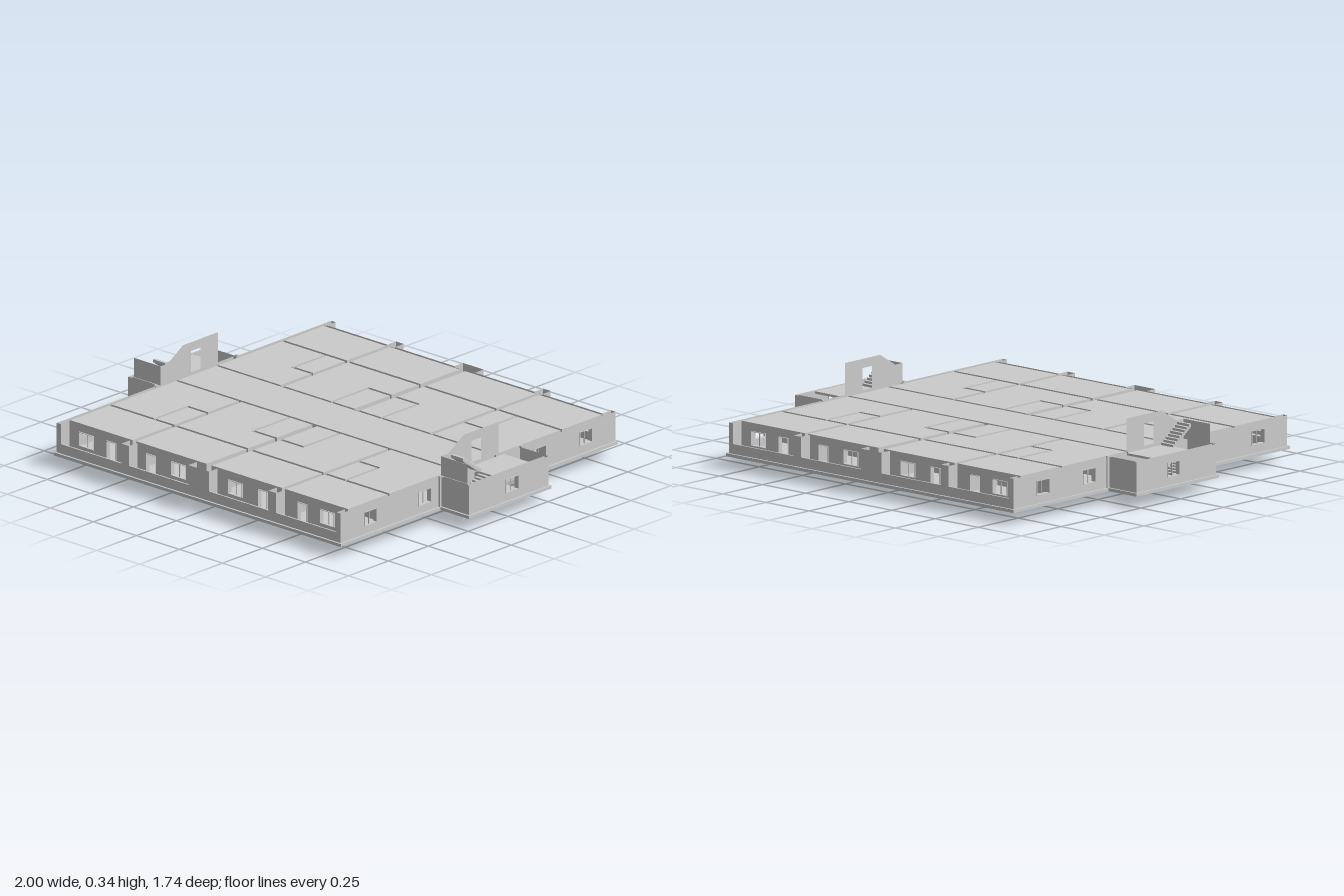
import * as THREE from 'three';

const grey = new THREE.MeshStandardMaterial({ color: 0xcccccc, side: THREE.DoubleSide });
const FLOOR = 0.065, TOP = 0.2, HEAD = 0.165, SILL = 0.105, PARAPET = 0.11;
const SIGNS = [1, -1];

const toShape = (pts) => new THREE.Shape(pts.map(([a, b]) => new THREE.Vector2(a, b)));
const rectPts = (a0, b0, a1, b1) => [[a0, b0], [a1, b0], [a1, b1], [a0, b1]];

function add(parent, geometry, name) {
  const mesh = new THREE.Mesh(geometry, grey);
  mesh.name = name;
  parent.add(mesh);
  return mesh;
}

function box(parent, name, x0, y0, z0, x1, y1, z1) {
  const g = new THREE.BoxGeometry(Math.abs(x1 - x0), Math.abs(y1 - y0), Math.abs(z1 - z0));
  return add(parent, g.translate((x0 + x1) / 2, (y0 + y1) / 2, (z0 + z1) / 2), name);
}

// Horizontal sheet from [x, z] points
function slab(parent, name, pts, y) {
  return add(parent, new THREE.ShapeGeometry(toShape(pts)).rotateX(Math.PI / 2).translate(0, y, 0), name);
}

// Doors and windows: centre, direction of the wall, width and height range
const openings = [];
function opening(x, z, along, w, y0, y1, kind) {
  openings.push({ x, z, along, w, y0, y1, kind });
}
const door = (x, z, along, w = 0.055) => opening(x, z, along, w, FLOOR + 0.002, HEAD, 'door');
const win = (x, z, along, w = 0.075) => opening(x, z, along, w, SILL, HEAD, 'window');

function listOpenings() {
  openings.length = 0;
  for (const sx of SIGNS) {
    for (const sz of SIGNS) {
      for (const x of [0.26, 0.64]) {
        door(sx * x, sz * 0.126, 'x');
        door(sx * x, sz * 0.54, 'x');
      }
      door(sx * 0.555, sz * 0.43, 'z');
      door(sx * 0.075, sz * 0.36, 'x', 0.05);
      win(sx * 0.7, sz * 0.801, 'x', 0.08);
      door(sx * 0.555, sz * 0.801, 'x', 0.05);
      door(sx * 0.325, sz * 0.801, 'x', 0.05);
      win(sx * 0.165, sz * 0.801, 'x', 0.08);
      win(sx * 0.817, sz * 0.675, 'z');
    }
    win(sx * 0.817, 0.335, 'z');
    win(sx * 0.817, -0.385, 'z');
    door(sx * 0.82, 0, 'z', 0.06);
    win(sx * 0.982, -0.035, 'z');
  }
}

// Upright sheet between two [x, z] points, cut by every opening that lies in it
function wall(parent, name, [xa, za], [xb, zb], outline) {
  const len = Math.hypot(xb - xa, zb - za);
  const dx = (xb - xa) / len, dz = (zb - za) / len;
  const shape = toShape(outline || rectPts(0, FLOOR, len, TOP));
  for (const o of openings) {
    const u = (o.x - xa) * dx + (o.z - za) * dz;
    const off = Math.abs((o.x - xa) * dz - (o.z - za) * dx);
    const parallel = Math.abs(o.along === 'x' ? dx : dz) > 0.9;
    if (parallel && off < 0.015 && u - o.w / 2 > 0 && u + o.w / 2 < len) {
      shape.holes.push(toShape(rectPts(u - o.w / 2, o.y0, u + o.w / 2, o.y1)));
    }
  }
  const m = new THREE.Matrix4().makeBasis(
    new THREE.Vector3(dx, 0, dz), new THREE.Vector3(0, 1, 0), new THREE.Vector3(-dz, 0, dx));
  m.setPosition(xa, 0, za);
  add(parent, new THREE.ShapeGeometry(shape).applyMatrix4(m), name);
}

// Hollow room: walls with floor and ceiling
function room(parent, name, pts, closed = true) {
  const g = new THREE.Group();
  g.name = name;
  parent.add(g);
  pts.forEach((p, i) => wall(g, 'roomWall', p, pts[(i + 1) % pts.length]));
  if (closed) {
    slab(g, 'roomFloor', pts, FLOOR);
    slab(g, 'ceiling', pts, TOP - 0.002);
  }
}

// Lining around each opening, with a middle bar in the windows
function lining(parent, o) {
  const g = new THREE.Group();
  g.name = o.kind + 'Frame';
  const w = o.w / 2, t = 0.002, d = 0.022;
  const shape = toShape(rectPts(-w - t, o.y0 - t, w + t, o.y1 + t));
  shape.holes.push(toShape(rectPts(-w, o.y0, w, o.y1)));
  add(g, new THREE.ExtrudeGeometry(shape, { depth: d, bevelEnabled: false }).translate(0, 0, -d / 2), 'lining');
  if (o.kind === 'window') box(g, 'middleBar', -t, o.y0, -t, t, o.y1, t);
  g.position.set(o.x, 0, o.z);
  if (o.along === 'z') g.rotation.y = Math.PI / 2;
  parent.add(g);
}

// Building outline, grown by e
const outlineAt = (e) => {
  const a = 0.825 + e, b = 0.86 + e, c = 0.99 + e, f = 0.235 + e, k = -0.265 - e;
  const right = [[a, b], [a, f], [c, f], [c, k], [a, k], [a, -b]];
  return [...right, ...right.map(([x, z]) => [-x, z]).reverse()];
};

// Flight of steps along z, from (z0, y0) to (z1, y1)
function flight(parent, xa, xb, z0, y0, z1, y1, n = 8) {
  const dz = (z1 - z0) / n, dy = (y1 - y0) / n;
  const pts = [[z0, y0]];
  for (let i = 0; i < n; i++) pts.push([z0 + i * dz, y0 + (i + 1) * dy], [z0 + (i + 1) * dz, y0 + (i + 1) * dy]);
  pts.push([z1, y1 - 0.012], [z0 + dz, y0]);
  const g = new THREE.ExtrudeGeometry(toShape(pts), { depth: Math.abs(xb - xa), bevelEnabled: false });
  add(parent, g.rotateY(-Math.PI / 2).translate(Math.max(xa, xb), 0, 0), 'flight');
}

// Sheet standing in the z-y plane
function sideSheet(parent, name, x, pts, hole) {
  const s = toShape(pts);
  if (hole) s.holes.push(toShape(hole));
  add(parent, new THREE.ShapeGeometry(s).rotateY(-Math.PI / 2).translate(x, 0, 0), name);
}

function stairwell(parent, s) {
  const g = new THREE.Group();
  g.name = s > 0 ? 'leftStairwell' : 'rightStairwell';
  parent.add(g);
  const xi = 0.832 * s, xm = 0.9 * s, xo = 0.975 * s;
  room(g, 'stairwellLining', rectPts(xi, -0.255, xo, 0.225), false);
  // Landings and half landings
  for (const y of [FLOOR, TOP]) box(g, 'landing', xi, y - 0.01, -0.155, xo, y, 0.06);
  box(g, 'halfLanding', xi, 0.12, 0.175, xo, 0.13, 0.222);
  flight(g, xi, xm, 0.06, FLOOR, 0.175, 0.13);
  flight(g, xm, xo, 0.175, 0.13, 0.06, TOP);
  flight(g, xi, xm, 0.06, TOP, 0.175, 0.285);
  // Stringers between flights
  sideSheet(g, 'lowerStringer', xm, [[0.175, 0], [0.175, FLOOR], [0.085, FLOOR]]);
  sideSheet(g, 'upperStringer', xm, [[0.06, 0.2], [0.175, 0.285], [0.175, 0.272], [0.08, 0.2]]);
  // Raised wall with doorway and sloping shoulder
  const profile = [[-0.14, TOP], [0.22, TOP], [0.22, 0.287], [0.175, 0.287], [0.08, 0.345], [-0.14, 0.345]];
  sideSheet(g, 'raisedWall', 0.815 * s, profile, rectPts(-0.03, 0.208, 0.03, 0.305));
  box(g, 'raisedFrontWall', 0.815 * s, TOP, 0.219, 0.968 * s, 0.287, 0.221);
  // Corner joints against the main block
  for (const z of [0.24, -0.27]) box(g, 'cornerJoint', 0.822 * s, FLOOR, z - 0.006, 0.832 * s, 0.205, z + 0.006);
}

export function createModel() {
  const model = new THREE.Group();
  model.name = 'buildingStorey';
  listOpenings();

  // Plinth band
  const ring = toShape(outlineAt(0.009));
  ring.holes.push(toShape(outlineAt(-0.002)));
  add(model, new THREE.ExtrudeGeometry(ring, { depth: 0.014, bevelEnabled: false })
    .rotateX(Math.PI / 2).translate(0, 0.067, 0), 'plinth');

  // Outer facade, notched above the balcony parapets on the front and back
  const bays = [[-0.8, -0.45], [-0.405, -0.06], [0.06, 0.405], [0.45, 0.8]];
  const notched = [[0, FLOOR], [1.65, FLOOR], [1.65, TOP]];
  for (const [a, b] of [...bays].reverse()) {
    const u = a + 0.825, v = b + 0.825;
    notched.push([v, TOP], [v, PARAPET], [u, PARAPET], [u, TOP]);
  }
  notched.push([0, TOP]);
  const outline = outlineAt(0);
  outline.forEach((p, i) => {
    const q = outline[(i + 1) % outline.length];
    wall(model, 'facade', p, q, Math.abs(p[0] - q[0]) > 1 ? notched : null);
  });

  // Balconies
  for (const sz of SIGNS) for (const [a, b] of bays) {
    const g = new THREE.Group();
    g.name = 'balcony';
    model.add(g);
    const zi = 0.806 * sz, zo = 0.853 * sz, ze = 0.86 * sz;
    slab(g, 'balconyFloor', rectPts(a, zi, b, zo), FLOOR + 0.001);
    wall(g, 'balconyBackWall', [a, zi], [b, zi]);
    for (const x of [a, b]) wall(g, 'balconySideWall', [x, zi], [x, ze]);
    wall(g, 'parapetInside', [a, zo], [b, zo], rectPts(0, FLOOR, b - a, PARAPET));
    slab(g, 'parapetCap', rectPts(a, zo, b, ze), PARAPET);
  }

  // Rooms of one quarter, mirrored to all four
  const rooms = {
    outerBedroom: rectPts(0.443, 0.546, 0.808, 0.796),
    innerBedroom: rectPts(0.015, 0.546, 0.425, 0.796),
    outerBathroom: rectPts(0.443, 0.335, 0.55, 0.535),
    innerBathroom: rectPts(0.015, 0.131, 0.14, 0.355),
    outerLivingRoom: [[0.443, 0.131], [0.808, 0.131], [0.808, 0.535], [0.56, 0.535], [0.56, 0.325], [0.443, 0.325]],
    innerLivingRoom: [[0.15, 0.131], [0.425, 0.131], [0.425, 0.535], [0.015, 0.535], [0.015, 0.365], [0.15, 0.365]],
  };
  for (const sx of SIGNS) for (const sz of SIGNS) {
    for (const [name, pts] of Object.entries(rooms)) room(model, name, pts.map(([x, z]) => [x * sx, z * sz]));
  }
  room(model, 'corridor', rectPts(-0.808, -0.122, 0.808, 0.122));

  for (const o of openings) lining(model, o);
  for (const s of SIGNS) stairwell(model, s);
  return model;
}
